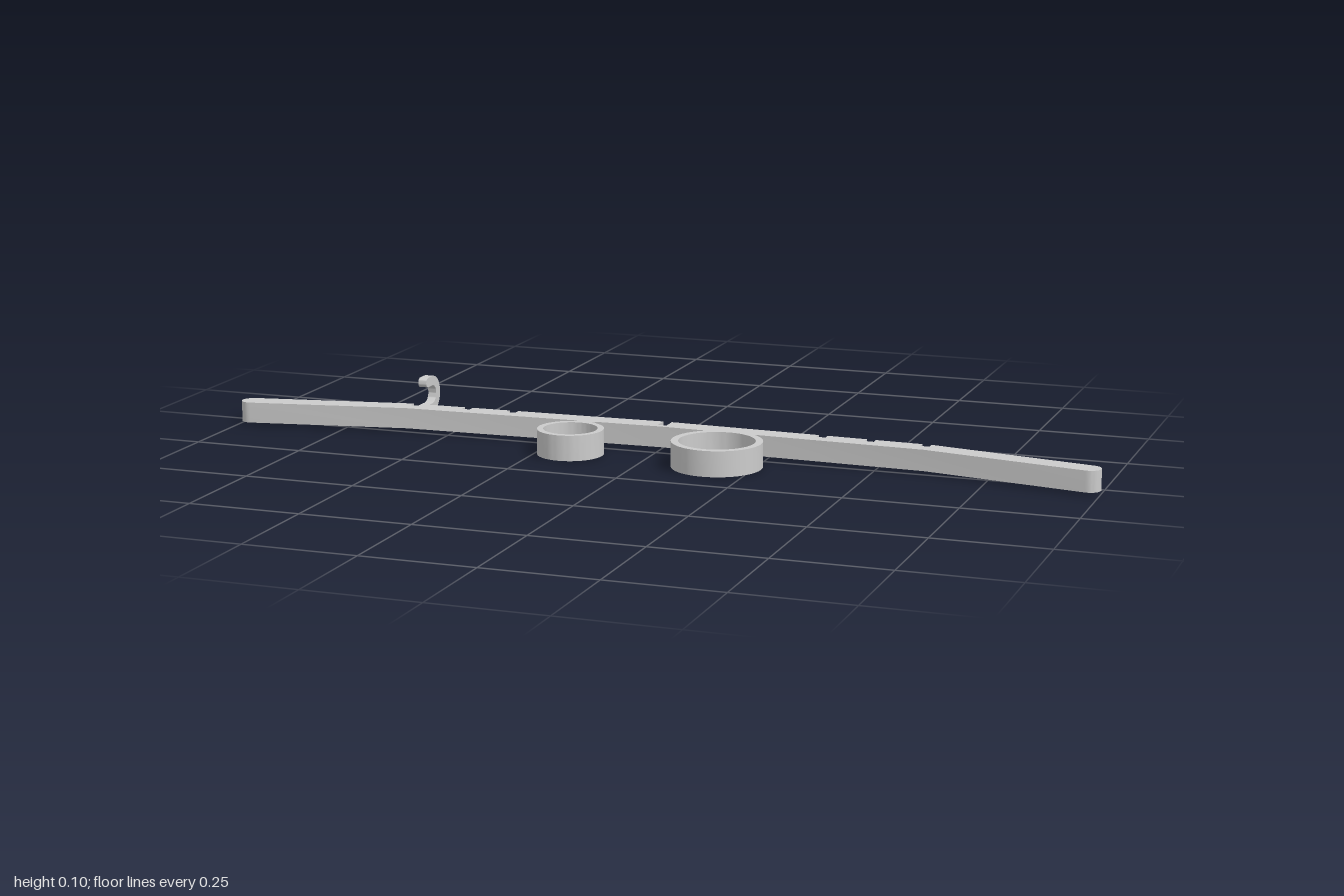
import * as THREE from 'three';
import { toCreasedNormals } from 'three/addons/utils/BufferGeometryUtils.js';

const material = new THREE.MeshStandardMaterial({ color: 0xcccccc });

function makeMesh(name, geometry) {
  const mesh = new THREE.Mesh(toCreasedNormals(geometry, 0.5), material);
  mesh.name = name;
  return mesh;
}

// Extrude a plan drawn in (x, z) between two heights
function plate(name, shape, bottom, top) {
  const geometry = new THREE.ExtrudeGeometry(shape, { depth: top - bottom, bevelEnabled: false, curveSegments: 32 });
  geometry.rotateX(Math.PI / 2).translate(0, top, 0);
  return makeMesh(name, geometry);
}

// Bent bar with a rounded tip at each end and notches along its back edge
function createBar() {
  const half = 0.025;
  const mid = [0, -0.0535], knee = [0.61, -0.034], tip = [0.974, 0.034];
  const slope = (knee[1] - mid[1]) / knee[0];
  const backEdge = (x) => mid[1] - half + slope * x;
  const side = [];
  const notch = (x, width, depth) => {
    const a = x - width / 2, b = x + width / 2;
    side.push([a, backEdge(a)], [a, backEdge(a) + depth], [b, backEdge(b) + depth], [b, backEdge(b)]);
  };

  // Centre notch (right half), then the three side notches
  side.push([0.01, backEdge(0) + 0.036], [0.01, backEdge(0.01)]);
  for (const x of [0.365, 0.475, 0.6]) notch(x, 0.02, 0.018);

  // Rounded tip, then back along the front edge
  const angle = Math.atan2(tip[1] - knee[1], tip[0] - knee[0]);
  side.push([knee[0] + 0.004, knee[1] - half]);
  for (let i = 0; i <= 12; i++) {
    const t = angle - Math.PI / 2 + (i / 12) * Math.PI;
    side.push([tip[0] + half * Math.cos(t), tip[1] + half * Math.sin(t)]);
  }
  side.push([knee[0] - 0.004, knee[1] + half]);

  const mirrored = side.map(([x, z]) => [-x, z]).reverse();
  const outline = [...side, [0, mid[1] + half], ...mirrored].map(([x, z]) => new THREE.Vector2(x, z));
  return plate('bar', new THREE.Shape(outline), 0.006, 0.053);
}

function createRing(name, x, z, outer, inner) {
  const shape = new THREE.Shape().absarc(x, z, outer, 0, Math.PI * 2, false);
  shape.holes.push(new THREE.Path().absarc(x, z, inner, 0, Math.PI * 2, true));
  return plate(name, shape, 0, 0.057);
}

// Flared neck joining the small ring to the bar
function createNeck() {
  const shape = new THREE.Shape();
  shape.moveTo(-0.205, -0.03);
  shape.lineTo(-0.145, -0.03);
  shape.quadraticCurveTo(-0.163, -0.016, -0.16, 0.004);
  shape.lineTo(-0.19, 0.004);
  shape.quadraticCurveTo(-0.187, -0.016, -0.205, -0.03);
  return plate('ringNeck', shape, 0.006, 0.053);
}

// Flat hook: stem backwards, half-round bend, rounded end facing the bar
function createHook() {
  const cx = 0.132, cy = 0.061, outer = 0.043, inner = 0.021;
  const shape = new THREE.Shape();
  shape.moveTo(0.042, cy - outer);
  shape.absarc(cx, cy, outer, -Math.PI / 2, Math.PI / 2, false);
  shape.absarc(0.109, cy + (outer + inner) / 2, (outer - inner) / 2, Math.PI / 2, Math.PI * 1.5, false);
  shape.absarc(cx, cy, inner, Math.PI / 2, -Math.PI / 2, true);
  shape.lineTo(0.042, cy - inner);
  const geometry = new THREE.ExtrudeGeometry(shape, { depth: 0.02, bevelEnabled: false, curveSegments: 20 });
  geometry.rotateY(Math.PI / 2).translate(-0.616, 0, 0);
  return makeMesh('hook', geometry);
}

export function createModel() {
  const model = new THREE.Group();
  model.name = 'notchedHanger';
  model.add(
    createBar(),
    createRing('smallRing', -0.174, 0.071, 0.074, 0.06),
    createRing('largeRing', 0.168, 0.076, 0.1, 0.084),
    createNeck(),
    createHook()
  );
  return model;
}
